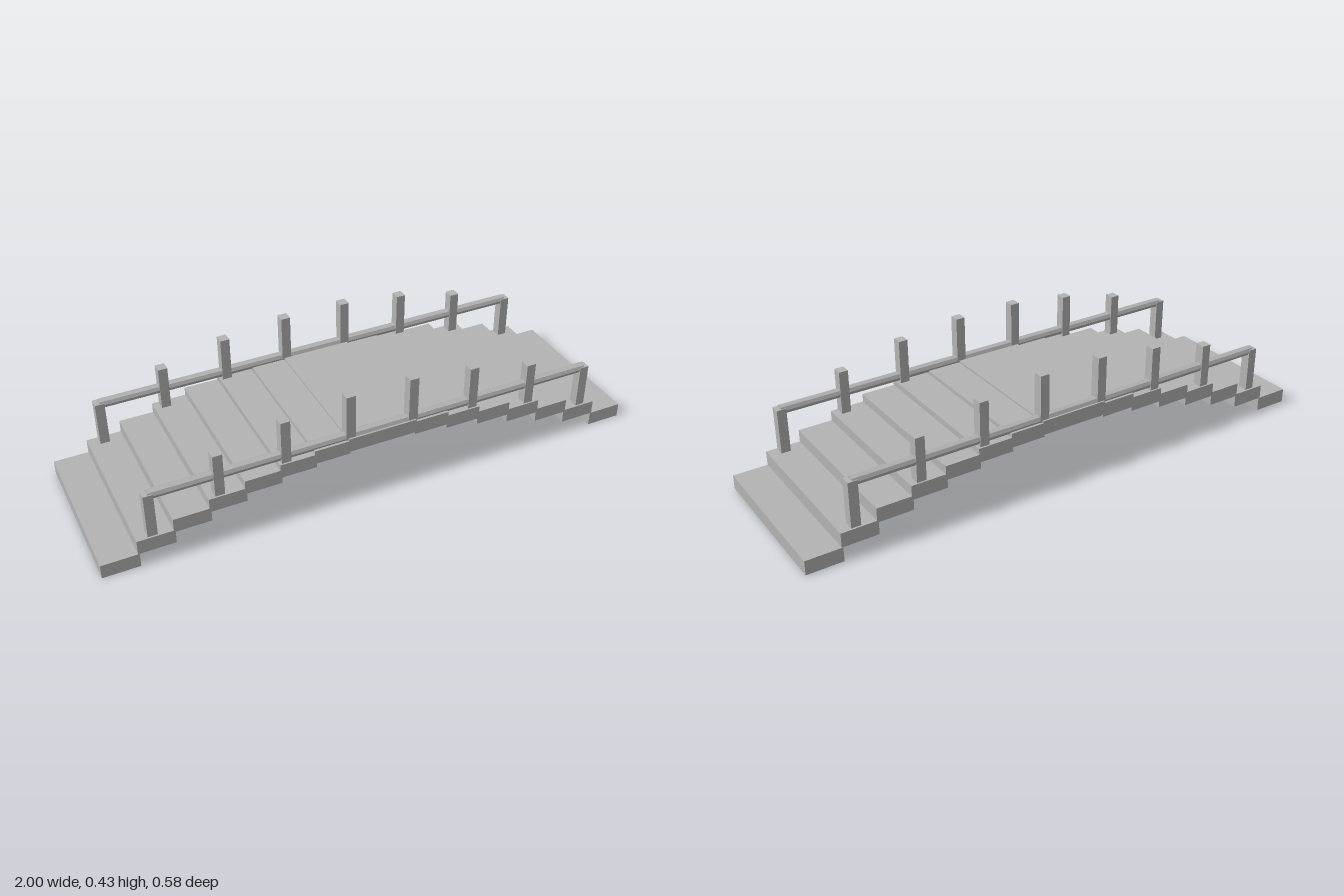
import * as THREE from 'three';

export function createModel() {
  const bridge = new THREE.Group();
  bridge.name = 'archedFootbridge';
  const stone = new THREE.MeshStandardMaterial({ color: 0xb3b3b3 });
  stone.name = 'grey';
  stone.flatShading = true;

  const add = (parent, name, geometry, x, y, z) => {
    const mesh = new THREE.Mesh(geometry, stone);
    mesh.name = name;
    mesh.position.set(x, y, z);
    parent.add(mesh);
    return mesh;
  };

  // Deck: sixteen slabs whose tops follow a parabola
  const count = 16, slabWidth = 0.13, thickness = 0.052;
  const spacing = (2 - slabWidth) / (count - 1);
  const slabTop = (i) => {
    const k = Math.abs(i - (count - 1) / 2) - 0.5; // 0 at the crown, 7 at the ends
    return 0.262 - 0.00375 * k * (k + 1);
  };
  const deck = new THREE.Group();
  deck.name = 'deck';
  bridge.add(deck);
  const slab = new THREE.BoxGeometry(slabWidth, thickness, 0.584);
  for (let i = 0; i < count; i++) {
    add(deck, 'deckSlab', slab, -1 + slabWidth / 2 + i * spacing, slabTop(i) - thickness / 2, 0);
  }

  // Railings: eight posts and one straight eight-sided rail on each side
  const posts = [
    { x: 0.117, base: 0.255, top: 0.428 },
    { x: 0.351, base: 0.238, top: 0.401 },
    { x: 0.585, base: 0.187, top: 0.347 },
    { x: 0.819, base: 0.105, top: 0.2687 },
  ];
  for (const side of [-1, 1]) {
    const railing = new THREE.Group();
    railing.name = side > 0 ? 'frontRailing' : 'backRailing';
    railing.position.z = side * 0.268;
    bridge.add(railing);
    for (const { x, base, top } of posts) {
      const post = new THREE.BoxGeometry(0.034, top - base, 0.036);
      for (const end of [-1, 1]) add(railing, 'post', post, end * x, (top + base) / 2, 0);
    }
    const rail = add(railing, 'handrail', new THREE.CylinderGeometry(0.0175, 0.0175, 1.638, 8), 0, 0.262, 0);
    rail.rotation.z = Math.PI / 2;
  }
  return bridge;
}
